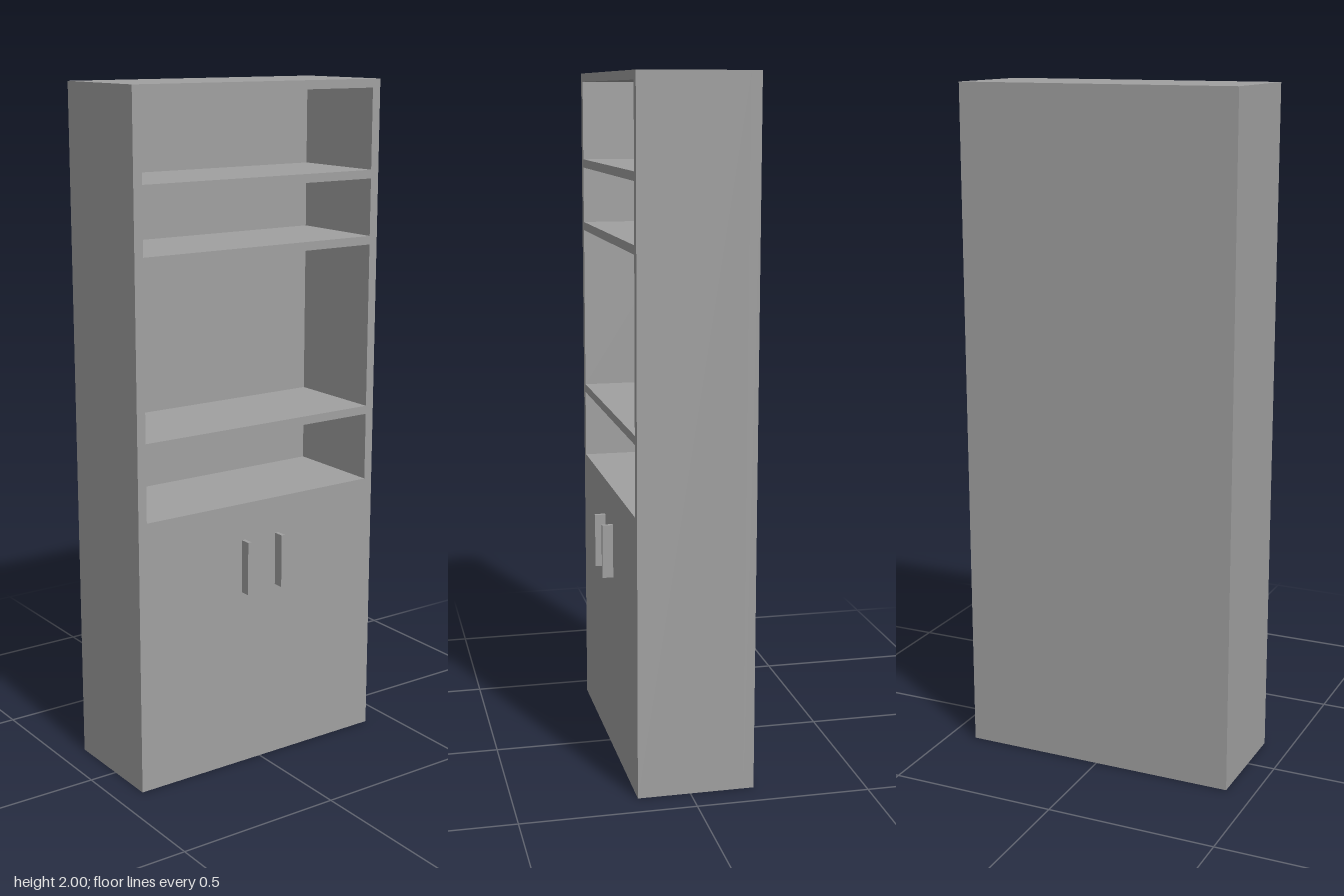
import * as THREE from 'three';

const WIDTH = 0.834, HEIGHT = 2, BACK = -0.185, FRONT = 0.152;
const BACK_PANEL = 0.03;
const OPENING_HALF = 0.39;
// bottom and top of each open shelf bay
const BAYS = [[0.81, 1.013], [1.038, 1.525], [1.55, 1.717], [1.742, 1.975]];

// axis-aligned rectangle added to a shape or path
function rect(path, x0, y0, x1, y1) {
  path.moveTo(x0, y0);
  path.lineTo(x1, y0);
  path.lineTo(x1, y1);
  path.lineTo(x0, y1);
  path.closePath();
  return path;
}

export function createModel() {
  const group = new THREE.Group();
  group.name = 'bookcase';
  const grey = new THREE.MeshStandardMaterial({ color: 0xa0a0a0 });
  grey.name = 'plain grey';

  const add = (name, geometry, x, y, z) => {
    const mesh = new THREE.Mesh(geometry, grey);
    mesh.name = name;
    mesh.position.set(x, y, z);
    group.add(mesh);
  };

  // carcass: closed cupboard below, open shelf bays above
  const outline = rect(new THREE.Shape(), -WIDTH / 2, 0, WIDTH / 2, HEIGHT);
  for (const [low, high] of BAYS) {
    outline.holes.push(rect(new THREE.Path(), -OPENING_HALF, low, OPENING_HALF, high));
  }
  const depth = FRONT - BACK - BACK_PANEL;
  const carcass = new THREE.ExtrudeGeometry(outline, { depth, bevelEnabled: false });
  add('carcass', carcass, 0, 0, BACK + BACK_PANEL);

  // back panel closing the bays
  add('backPanel', new THREE.BoxGeometry(WIDTH, HEIGHT, BACK_PANEL),
    0, HEIGHT / 2, BACK + BACK_PANEL / 2);

  // pair of upright door handles
  const handle = new THREE.BoxGeometry(0.012, 0.16, 0.032);
  add('rightHandle', handle, -0.061, 0.62, FRONT + 0.016);
  add('leftHandle', handle, 0.059, 0.62, FRONT + 0.016);

  return group;
}
